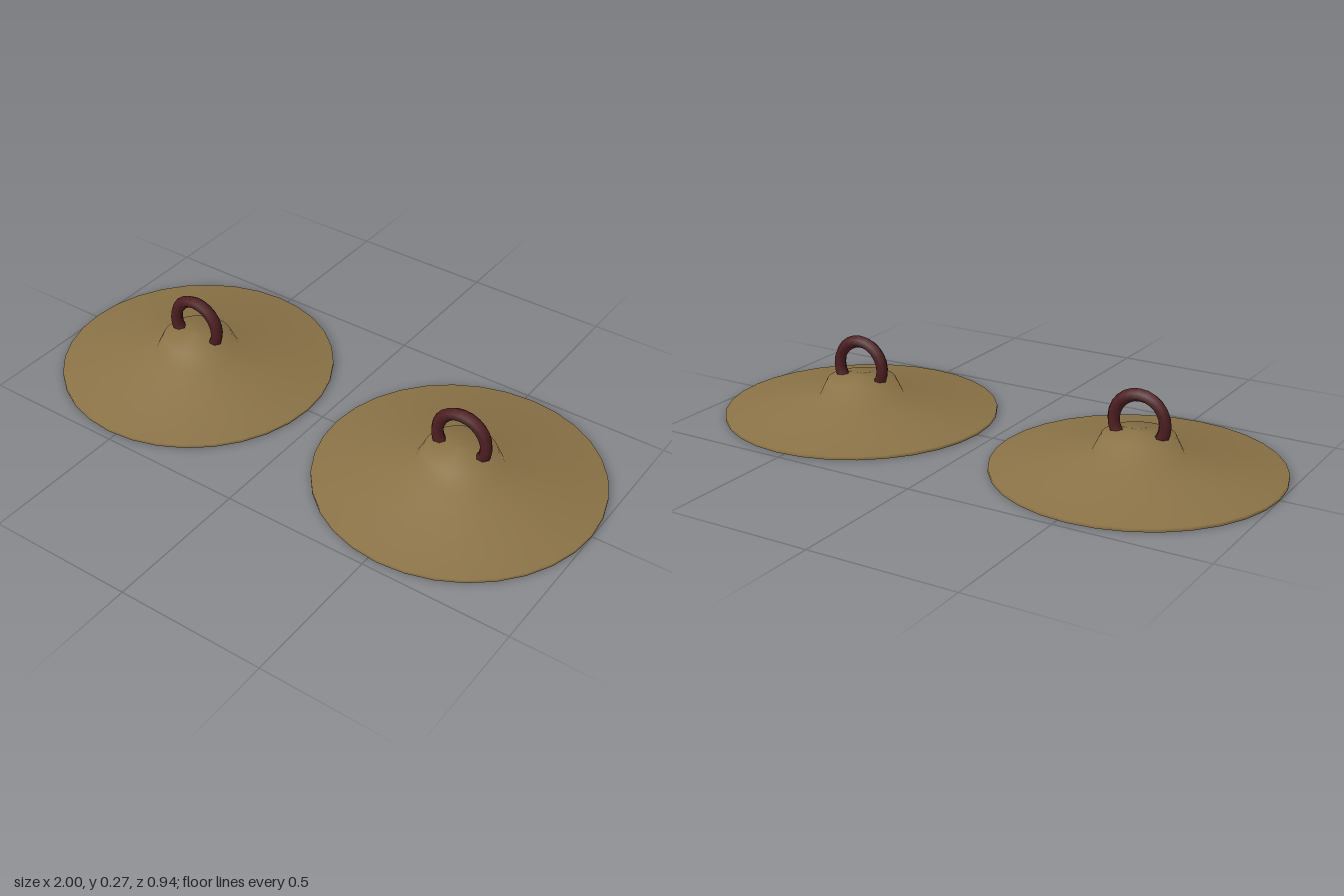
import * as THREE from 'three';

const brass = new THREE.MeshStandardMaterial({ color: 0x8b7347, side: THREE.DoubleSide });
brass.name = 'brass';
const leather = new THREE.MeshStandardMaterial({ color: 0x4f1f22 });
leather.name = 'dark red leather';

// Radius and height of the thin metal shell, from rim to crown
const profile = [
  [0.47, 0], [0.47, 0.012], [0.145, 0.06], [0.117, 0.118], [0, 0.128],
].map(([r, y]) => new THREE.Vector2(r, y));

function createCymbal(name) {
  const cymbal = new THREE.Group();
  cymbal.name = name;

  // Open, hollow disc with a raised bell
  const disc = new THREE.Mesh(new THREE.LatheGeometry(profile, 32), brass);
  disc.name = 'disc';

  // Six-sided strap ring passing through the bell
  const strap = new THREE.Mesh(new THREE.TorusGeometry(0.0885, 0.0215, 6, 24), leather);
  strap.name = 'strapRing';
  strap.position.y = 0.16;

  cymbal.add(disc, strap);
  return cymbal;
}

export function createModel() {
  const model = new THREE.Group();
  model.name = 'cymbalPair';
  for (const [name, side] of [['rightCymbal', -1], ['leftCymbal', 1]]) {
    const cymbal = createCymbal(name);
    cymbal.position.x = side * 0.53;
    model.add(cymbal);
  }
  return model;
}
